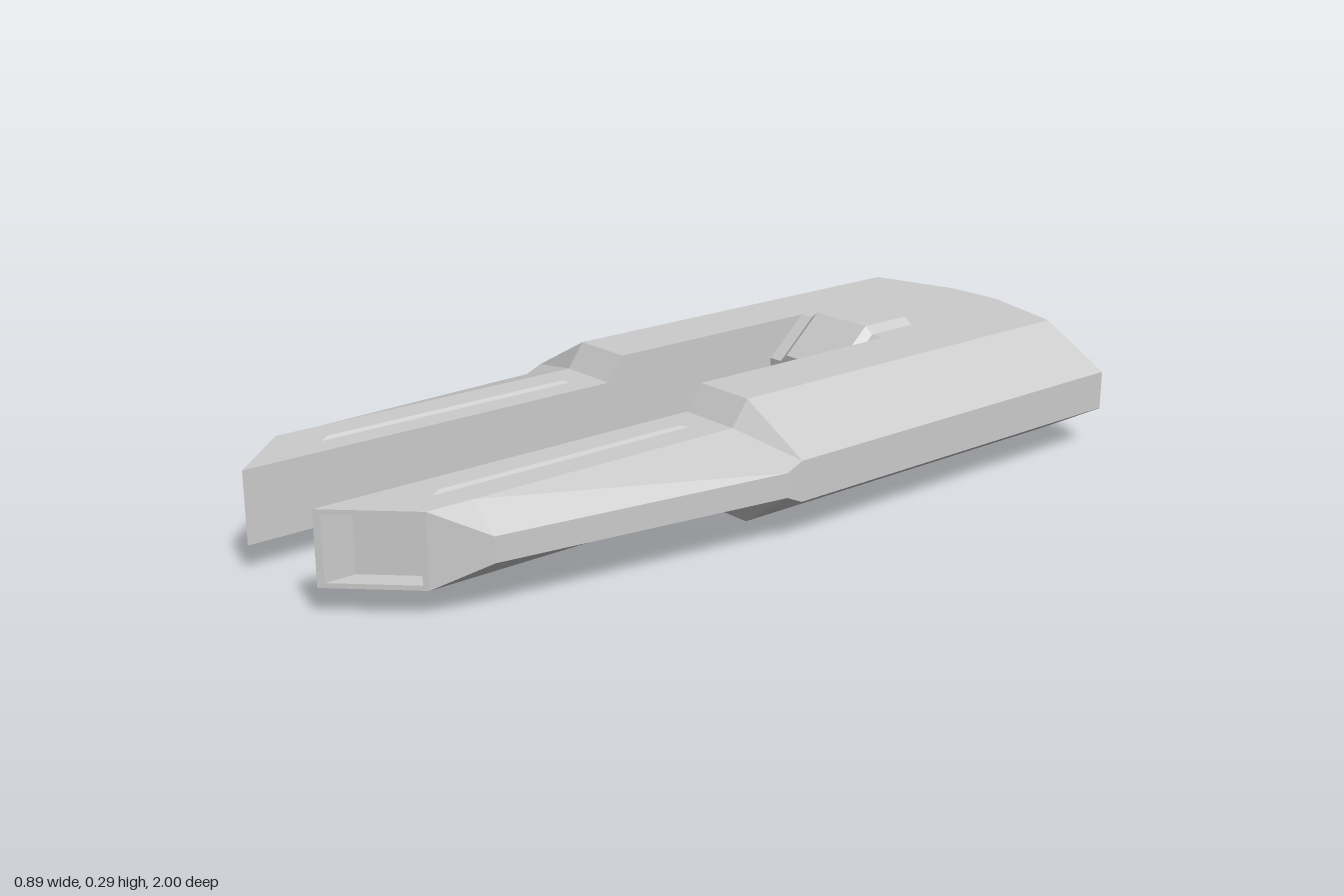
import * as THREE from 'three';
import { ConvexGeometry } from 'three/addons/geometries/ConvexGeometry.js';

const material = new THREE.MeshStandardMaterial({ color: 0xcccccc, flatShading: true });

// Closed rings of [x, y, z] joined in order, optionally capped at the end.
function loft(rings, cap = false) {
  const out = [];
  const tri = (a, b, c) => {
    const [A, B, C] = [a, b, c].map(p => new THREE.Vector3(...p));
    if (B.clone().sub(A).cross(C.clone().sub(A)).length() > 1e-9) out.push(...a, ...b, ...c);
  };
  for (let r = 0; r < rings.length - 1; r++) {
    const s = rings[r], t = rings[r + 1], n = s.length;
    for (let i = 0; i < n; i++) {
      const j = (i + 1) % n;
      tri(s[i], s[j], t[j]);
      tri(s[i], t[j], t[i]);
    }
  }
  if (cap) {
    const e = rings[rings.length - 1];
    for (let i = 1; i < e.length - 1; i++) tri(e[0], e[i], e[i + 1]);
  }
  const g = new THREE.BufferGeometry();
  g.setAttribute('position', new THREE.Float32BufferAttribute(out, 3));
  g.computeVertexNormals();
  return g;
}

// Copy a geometry to the other side of x = 0, keeping faces outward.
function mirrored(geometry) {
  const g = geometry.index ? geometry.toNonIndexed() : geometry.clone();
  const p = g.attributes.position;
  const v = [0, 1, 2].map(() => new THREE.Vector3());
  for (let i = 0; i < p.count; i += 3) {
    v.forEach((q, k) => q.fromBufferAttribute(p, i + k));
    [0, 2, 1].forEach((k, n) => p.setXYZ(i + n, -v[k].x, v[k].y, v[k].z));
  }
  g.computeVertexNormals();
  return g;
}

const points = list => list.map(p => new THREE.Vector3(...p));

export function createModel() {
  const model = new THREE.Group();
  model.name = 'spacecraft';
  const add = (name, geometry) => {
    const mesh = new THREE.Mesh(geometry, material);
    mesh.name = name;
    model.add(mesh);
  };
  const addPair = (name, geometry) => {
    add('left' + name, geometry);
    add('right' + name, mirrored(geometry));
  };

  // Side hulls: full section, stepping down to slim tapered prongs
  const IN = 0.135, RIDGE = 0.28;
  const section = (z, side, y0, y1, y2, y3) => [
    [IN, y0, z], [RIDGE, y0, z], [side, y1, z], [side, y2, z], [RIDGE, y3, z], [IN, y3, z],
  ];
  const lo = 0.06, hi = 0.215;
  addPair('Prong', loft([
    section(-0.89, 0.447, 0, 0.092, 0.18, 0.27),
    section(0.07, 0.447, 0, 0.092, 0.18, 0.27),
    section(0.11, 0.447, lo, 0.11, 0.163, hi),
    section(0.75, 0.35, lo, 0.11, 0.163, hi),
    [[IN, lo, 1], [RIDGE, lo, 0.85], [RIDGE, lo, 0.85], [RIDGE, hi, 0.85], [RIDGE, hi, 0.85], [IN, hi, 1]],
  ]));

  // Slanted prong tips with a recessed panel
  const tipRing = (inset, depth) => {
    const at = (x, y) => [x, y, 1 - (x - IN) * 0.15 / (RIDGE - IN) - depth];
    const a = IN + inset, b = RIDGE - inset * 0.8;
    return [at(a, lo + inset), at(b, lo + inset), at(b, hi - inset), at(a, hi - inset)];
  };
  addPair('TipRecess', loft([tipRing(0, 0), tipRing(0.01, 0), tipRing(0.01, 0.065)], true));

  // Thin raised rails on the prongs
  const rail = [];
  for (const x of [-1, 1]) {
    rail.push([0.204 + x * 0.014, 0.213, 0.17], [0.204 + x * 0.014, 0.213, 0.8]);
    rail.push([0.204 + x * 0.008, 0.222, 0.19], [0.204 + x * 0.008, 0.222, 0.78]);
  }
  addPair('Rail', new ConvexGeometry(points(rail)));

  // Bridge between the hulls, with a bevelled front
  const profile = new THREE.Shape([
    [-0.89, 0], [-0.48, 0], [-0.38, 0.092], [-0.38, 0.18], [-0.48, 0.27], [-0.89, 0.27],
  ].map(p => new THREE.Vector2(...p)));
  const bridge = new THREE.ExtrudeGeometry(profile, { depth: IN * 2, bevelEnabled: false });
  bridge.rotateY(-Math.PI / 2).translate(IN, 0, 0);
  add('bridge', bridge);

  // Cockpit hump running over the bridge's front bevel
  const hump = [];
  for (const s of [-1, 1]) {
    hump.push([s * 0.1, 0.27, -0.613], [s * 0.1, 0.27, -0.48], [s * 0.1, 0.18, -0.38]);
    hump.push([s * 0.08, 0.286, -0.608], [s * 0.08, 0.286, -0.478], [s * 0.08, 0.198, -0.38]);
  }
  add('cockpit', new ConvexGeometry(points(hump)));

  // Bevelled stern
  const stern = [];
  for (const s of [-1, 1]) {
    for (const m of [-1, 1]) {
      const y = h => 0.135 + m * h;
      stern.push([s * 0.28, y(0.135), -0.89], [s * 0.447, y(0.044), -0.89]);
      stern.push([s * 0.07, y(0.135), -0.95], [s * 0.24, y(0.1), -0.95], [s * 0.315, y(0.032), -0.95]);
    }
  }
  add('stern', new ConvexGeometry(points(stern)));

  // Hollow engine nozzles
  const nozzle = new THREE.LatheGeometry([
    [0.068, 0], [0.07, 0.015], [0.077, 0.03], [0.077, 0.05], [0.064, 0.05], [0.054, 0.018], [0, 0.018],
  ].map(p => new THREE.Vector2(...p)), 16);
  nozzle.rotateX(-Math.PI / 2).translate(0.17, 0.14, -0.95);
  addPair('Nozzle', nozzle);

  return model;
}
